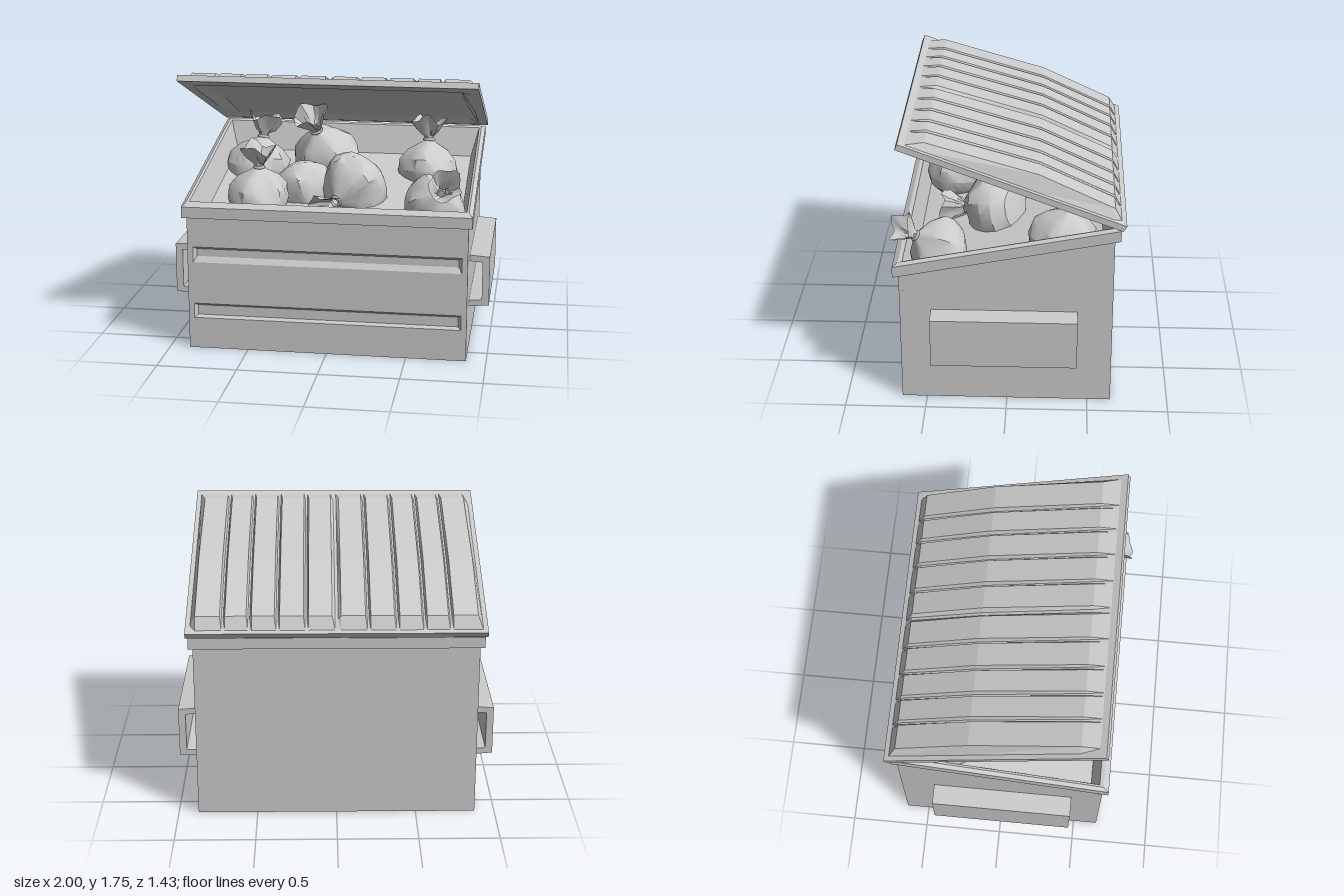
import * as THREE from 'three';
import { toCreasedNormals } from 'three/addons/utils/BufferGeometryUtils.js';

const grey = new THREE.MeshStandardMaterial({ color: 0xcccccc });
const thin = new THREE.MeshStandardMaterial({ color: 0xcccccc, side: THREE.DoubleSide });

function part(name, geometry, material = grey) {
  const mesh = new THREE.Mesh(geometry, material);
  mesh.name = name;
  return mesh;
}

// Flat-shaded skin over closed rings of points, with optional end caps
function loft(rings, capStart, capEnd) {
  const centre = (ring) => {
    const c = [0, 1, 2].map((k) => ring.reduce((sum, p) => sum + p[k], 0) / ring.length);
    return ring.map(() => c);
  };
  const rows = [...rings];
  if (capStart) rows.unshift(centre(rings[0]));
  if (capEnd) rows.push(centre(rings[rings.length - 1]));
  const n = rings[0].length, index = [];
  for (let i = 0; i < rows.length - 1; i++) {
    for (let j = 0; j < n; j++) {
      const a = i * n + j, b = i * n + (j + 1) % n;
      index.push(a, b, b + n, a, b + n, a + n);
    }
  }
  const g = new THREE.BufferGeometry();
  g.setAttribute('position', new THREE.Float32BufferAttribute(rows.flat(2), 3));
  g.setIndex(index);
  const flat = g.toNonIndexed();
  flat.computeVertexNormals();
  return flat;
}

// Sloping line of the bin mouth, and a rectangular ring following it
const mouth = (z) => 0.86 + (0.69 - z) * 0.197;
const ring = (x, zf, zb, y) =>
  [[x, zf], [x, zb], [-x, zb], [-x, zf]].map(([px, pz]) => [px, y(pz), pz]);
const mouthRing = (x, zf, zb, dy) => ring(x, zf, zb, (z) => mouth(z) + dy);

const polygon = (points) => new THREE.Shape(points.map(([x, y]) => new THREE.Vector2(x, y)));
const rect = (x, y0, y1) => [[-x, y0], [x, y0], [x, y1], [-x, y1]];

function makeBody() {
  const body = new THREE.Group();
  body.name = 'binBody';
  body.add(part('tub', loft([
    ring(0.875, 0.628, -0.645, () => 0),
    mouthRing(0.875, 0.628, -0.645, -0.11),
  ], true, true)));

  // Rim, inner walls and inside floor
  body.add(part('rim', loft([
    mouthRing(0.875, 0.655, -0.645, -0.112),
    mouthRing(0.875, 0.655, -0.645, 0),
    mouthRing(0.9, 0.69, -0.68, 0),
    mouthRing(0.9, 0.69, -0.68, 0.07),
    mouthRing(0.875, 0.655, -0.65, 0.085),
    mouthRing(0.86, 0.63, -0.63, 0.08),
    mouthRing(0.81, 0.58, -0.58, -0.1),
  ], false, true)));

  // Front plate with two bevelled recesses
  const plate = polygon(rect(0.875, 0, mouth(0.655) - 0.11));
  for (const [y0, y1, lip] of [[0.2, 0.295, 0.015], [0.565, 0.665, 0.035]]) {
    plate.holes.push(polygon(rect(0.84, y0, y1)));
    body.add(part('frontRecess', loft([
      rect(0.84, y0, y1).map(([x, y]) => [x, y, 0.655]),
      rect(0.82, y0 + lip, y1 - 0.017).map(([x, y]) => [x, y, 0.632]),
    ], false, true)));
  }
  const front = new THREE.ExtrudeGeometry(plate, { depth: 0.03, bevelEnabled: false });
  body.add(part('frontPlate', front.translate(0, 0, 0.625)));

  // Lifting pockets on both sides
  const channel = [[0.875, 0.63], [1, 0.62], [1, 0.305], [0.875, 0.295],
    [0.875, 0.335], [0.955, 0.34], [0.955, 0.585], [0.875, 0.59]];
  for (const side of [1, -1]) {
    const shape = polygon(channel.map(([x, y]) => [x * side, y]));
    const g = new THREE.ExtrudeGeometry(shape, { depth: 0.895, bevelEnabled: false });
    body.add(part(side > 0 ? 'leftPocket' : 'rightPocket', g.translate(0, 0, -0.432)));
  }
  return body;
}

// Hollow lid: sections across x, raised in the middle and grooved
function makeLid() {
  const top = [[-0.71, 0], [-0.68, 0], [-0.64, 0.062], [-0.19, 0.104], [0.48, 0.045], [0.59, 0], [0.63, 0]];
  const under = [[0.645, 0], [0.52, 0], [0.46, 0.045], [-0.19, 0.104], [-0.6, 0.062], [-0.65, 0], [-0.69, 0]];
  // Columns: x, top height factor, underside height factor
  const columns = [[-0.915, 0, 0], [-0.885, 0, 0], [-0.855, 1, 0], [-0.8, 1, 0.5]];
  for (const x of [-0.69, -0.53, -0.365, -0.19, 0, 0.185, 0.36, 0.53, 0.69]) {
    const w = x === 0 ? 0.027 : 0.016;
    columns.push([x - w, 1, 0.5], [x - w * 0.35, 0.65, 0.5], [x + w * 0.35, 0.65, 0.5], [x + w, 1, 0.5]);
  }
  columns.push([0.8, 1, 0.5], [0.855, 1, 0], [0.885, 0, 0], [0.915, 0, 0]);
  const sections = columns.map(([x, ft, fu]) => [
    ...top.map(([z, h]) => [x, 1.745 - (0.63 - z) * 0.377 + h * ft, z]),
    ...under.map(([z, h]) => [x, 1.71 - (0.645 - z) * 0.378 + h * fu, z]),
  ]);
  return part('lid', loft(sections, true, true));
}

// Tied rubbish bag: a lathe with pleats near the neck and a crumpled open top
function makeBag(seed) {
  const bag = new THREE.Group();
  bag.name = 'rubbishBag';
  const profile = [[0, -0.75], [0.6, -0.68], [0.92, -0.35], [1, 0], [0.9, 0.36], [0.62, 0.68],
    [0.27, 0.88], [0.13, 0.98], [0.16, 1.1], [0.36, 1.36], [0.55, 1.62]];
  const g = new THREE.LatheGeometry(profile.map(([r, y]) => new THREE.Vector2(r, y)), 20);
  const p = g.attributes.position;
  for (let i = 0; i < p.count; i++) {
    const x = p.getX(i), y = p.getY(i), z = p.getZ(i), a = Math.atan2(x, z);
    const pleat = y > 0.3 ? 0.09 : 0.02;
    const lump = 1 + 0.05 * Math.sin(2 * a + seed * 2 + y * 2) + pleat * Math.cos(5 * a + seed);
    const frill = y > 1.3 ? 0.12 * Math.sin(3 * a + seed * 3) + 0.07 * Math.cos(5 * a) : 0;
    p.setXYZ(i, x * lump, y + frill, z * lump);
  }
  bag.add(part('bagSkin', toCreasedNormals(g, 0.55), thin));
  const tie = part('bagTie', new THREE.TorusGeometry(0.15, 0.05, 6, 12));
  tie.rotation.x = Math.PI / 2;
  tie.position.y = 0.99;
  bag.add(tie);
  return bag;
}

export function createModel() {
  const model = new THREE.Group();
  model.name = 'wasteContainer';
  model.add(makeBody(), makeLid());

  // Bags: centre, size and direction of the knot
  const bags = [
    [[-0.47, 0.93, 0.38], 0.2, [0.02, 1, 0.02]],
    [[-0.61, 0.95, -0.33], 0.21, [0.12, 1, -0.2]],
    [[-0.15, 1.04, -0.35], 0.22, [-0.25, 0.9, 0.45]],
    [[0.1, 0.95, 0.1], 0.22, [-0.4, -0.25, 0.8]],
    [[-0.24, 0.91, 0.05], 0.2, [0.3, -0.5, 0.6]],
    [[0.65, 0.93, 0.42], 0.19, [0.25, 0.6, 0.75]],
    [[0.54, 0.96, -0.34], 0.21, [0, 1, -0.2]],
  ];
  bags.forEach(([centre, size, knot], i) => {
    const bag = makeBag(i + 1);
    bag.position.set(...centre);
    bag.scale.setScalar(size);
    bag.quaternion.setFromUnitVectors(new THREE.Vector3(0, 1, 0), new THREE.Vector3(...knot).normalize());
    model.add(bag);
  });
  return model;
}
